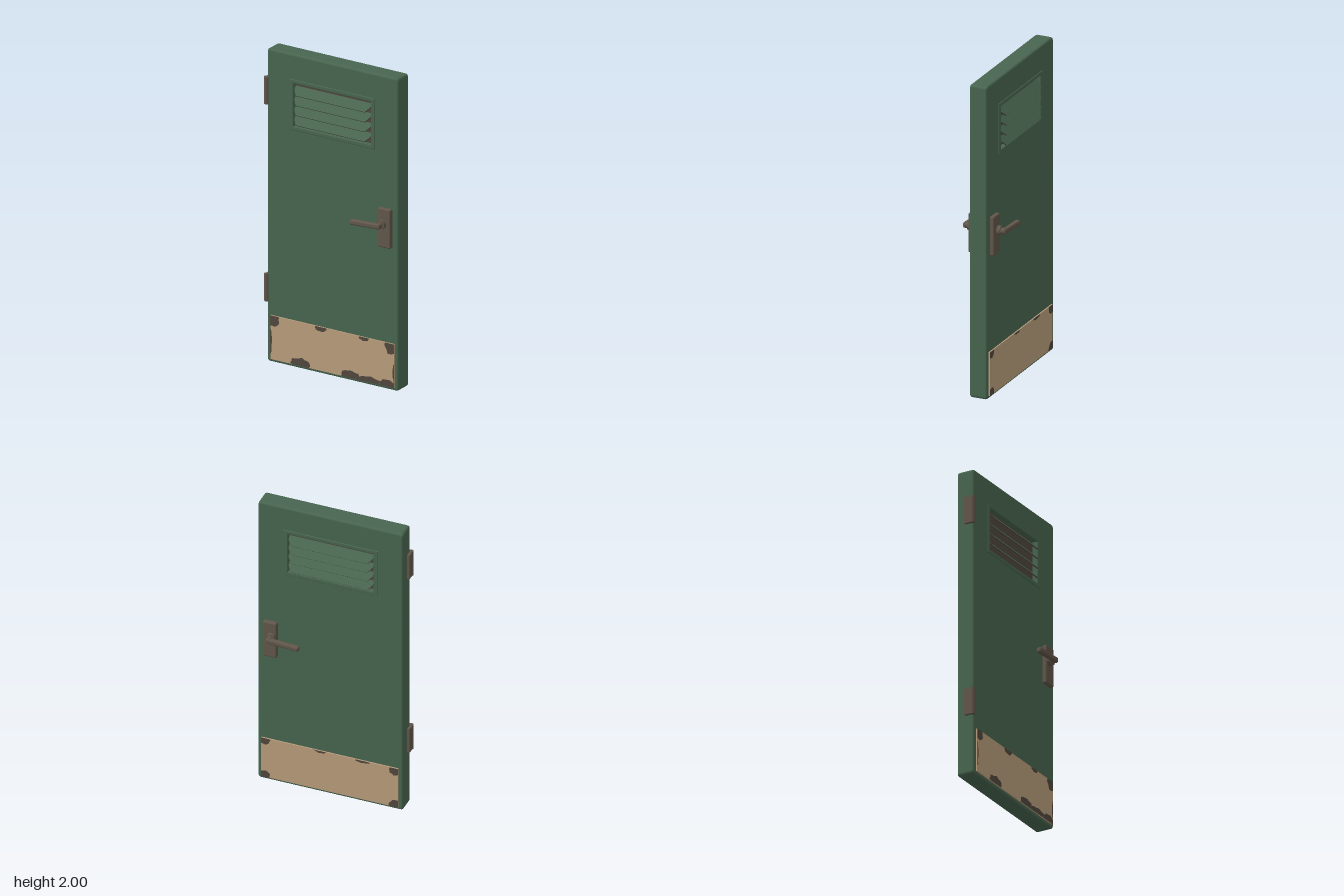
import * as THREE from 'three';
import { RoundedBoxGeometry } from 'three/addons/geometries/RoundedBoxGeometry.js';

const paint = (name, color) => {
  const m = new THREE.MeshStandardMaterial({ color });
  m.name = name;
  return m;
};

const ZC = -0.003, HALF = 0.0575; // door mid-plane and half thickness

// Rounded rectangle outline, as a Shape or a hole Path
function roundRect(x0, y0, x1, y1, r, Type = THREE.Shape) {
  const s = new Type();
  s.moveTo(x0 + r, y0);
  s.lineTo(x1 - r, y0); s.quadraticCurveTo(x1, y0, x1, y0 + r);
  s.lineTo(x1, y1 - r); s.quadraticCurveTo(x1, y1, x1 - r, y1);
  s.lineTo(x0 + r, y1); s.quadraticCurveTo(x0, y1, x0, y1 - r);
  s.lineTo(x0, y0 + r); s.quadraticCurveTo(x0, y0, x0 + r, y0);
  return s;
}

// Straight-edged rectangle
function rect(x0, y0, x1, y1, Type = THREE.Shape) {
  return new Type([[x0, y0], [x1, y0], [x1, y1], [x0, y1]].map(p => new THREE.Vector2(...p)));
}

function seeded(seed) {
  return () => (seed = (seed * 16807) % 2147483647) / 2147483647;
}

export function createModel() {
  const green = paint('door green', 0x48654f);
  const bronze = paint('handle bronze', 0x61564a);
  const tan = paint('kick plate tan', 0xb99d7b);
  const worn = paint('worn brown', 0x51483e);

  const model = new THREE.Group();
  const add = (parent, name, geo, mat, x = 0, y = 0, z = 0) => {
    const m = new THREE.Mesh(geo, mat);
    m.name = name;
    m.position.set(x, y, z);
    parent.add(m);
    return m;
  };

  // Door slab with a vent opening and softened edges
  const slab = roundRect(-0.46, 0, 0.475, 2, 0.02);
  slab.holes.push(rect(-0.275, 1.535, 0.285, 1.82, THREE.Path));
  const b = 0.013;
  add(model, 'doorSlab', new THREE.ExtrudeGeometry(slab, {
    depth: 2 * (HALF - b), bevelThickness: b, bevelSize: b, bevelOffset: -b, bevelSegments: 3, curveSegments: 4,
  }), green, 0, 0, ZC - HALF + b);
  add(model, 'ventCore', new THREE.BoxGeometry(0.6, 0.32, 0.05), worn, 0.005, 1.68, ZC);

  // Chips in the kick plate paint: x, y, radius x, radius y
  const chips = {
    front: [[-0.41, 0.28, 0.045, 0.045], [-0.07, 0.3, 0.045, 0.03], [0.235, 0.3, 0.035, 0.022],
      [0.43, 0.28, 0.045, 0.05], [-0.432, 0.13, 0.012, 0.08], [-0.22, 0.03, 0.07, 0.04],
      [0.14, 0.025, 0.07, 0.045], [0.27, 0.02, 0.09, 0.035], [0.41, 0.03, 0.07, 0.032], [0.452, 0.12, 0.012, 0.06]],
    back: [[0.43, 0.29, 0.04, 0.035], [0.07, 0.3, 0.04, 0.015], [-0.2, 0.3, 0.05, 0.015],
      [-0.41, 0.285, 0.04, 0.035], [-0.42, 0.03, 0.05, 0.04], [0.43, 0.03, 0.035, 0.04]],
  };

  for (const s of [1, -1]) {
    const name = s > 0 ? 'front' : 'back';
    const face = ZC + s * HALF;
    const side = new THREE.Group();
    side.name = name + 'Fittings';
    model.add(side);

    // Vent frame
    const ring = rect(-0.3, 1.515, 0.31, 1.84);
    ring.holes.push(rect(-0.272, 1.54, 0.282, 1.816, THREE.Path));
    add(side, 'ventFrame', new THREE.ExtrudeGeometry(ring, {
      depth: 0.012, bevelThickness: 0.003, bevelSize: 0.003, bevelOffset: -0.003, bevelSegments: 1,
    }), green, 0, 0, face - 0.006 - s * 0.004);

    // Louvre slats, leaning outward at the bottom, with worn edges
    const slat = new THREE.Shape([[-0.246, -0.032], [0.246, -0.032], [0.272, 0.005], [0.272, 0.032],
      [-0.272, 0.032], [-0.272, 0.005]].map(p => new THREE.Vector2(...p)));
    const slatGeo = new THREE.ExtrudeGeometry(slat, { depth: 0.007, bevelEnabled: false });
    slatGeo.translate(0, 0, -0.0035);
    for (let i = 0; i < 4; i++) {
      const m = add(side, 'ventSlat', slatGeo, [green, worn], 0.006, 1.771 - i * 0.063, face + s * 0.001);
      m.rotation.x = -s * 0.76;
    }

    // Kick plate with chipped paint
    const x0 = -0.432, x1 = 0.452, y0 = 0.02, y1 = 0.3;
    add(side, 'kickPlate', new THREE.BoxGeometry(x1 - x0, y1 - y0, 0.008), tan, (x0 + x1) / 2, 0.16, face + s * 0.004);
    const rnd = seeded(s > 0 ? 71 : 193);
    for (const [cx, cy, rx, ry] of chips[name]) {
      const pts = [];
      for (let i = 0; i < 18; i++) {
        const a = i / 18 * Math.PI * 2, k = 0.85 + 0.3 * rnd();
        const p = new THREE.Vector2(
          THREE.MathUtils.clamp(cx + rx * k * Math.cos(a), x0, x1),
          THREE.MathUtils.clamp(cy + ry * k * Math.sin(a), y0, y1));
        if (!pts.length || p.distanceTo(pts[pts.length - 1]) > 1e-4) pts.push(p);
      }
      const chip = add(side, 'paintChip', new THREE.ShapeGeometry(new THREE.Shape(pts)), worn, 0, 0, face + s * 0.0095);
      if (s < 0) {
        // Turn the outline over so it faces the back
        chip.geometry.scale(-1, 1, 1);
        chip.geometry.index.array.reverse();
        chip.rotation.y = Math.PI;
      }
    }

    // Lever handle on its backplate
    const handle = new THREE.Group();
    handle.name = name + 'Handle';
    side.add(handle);
    add(handle, 'backplate', new RoundedBoxGeometry(0.09, 0.25, 0.032, 2, 0.009), bronze, 0.39, 1.035, face + s * 0.012);
    const collar = (r, from, to) => {
      const g = new THREE.CylinderGeometry(r, r, to - from, 20).rotateX(Math.PI / 2);
      add(handle, 'collar', g, bronze, 0.376, 1.06, face + s * (from + to) / 2);
    };
    collar(0.03, 0.02, 0.05);
    collar(0.02, 0.045, 0.075);
    const lever = new RoundedBoxGeometry(0.212, 0.034, 0.032, 3, 0.011);
    const pos = lever.attributes.position;
    for (let i = 0; i < pos.count; i++) { // slimmer near the hub, drooping slightly to the tip
      const t = pos.getX(i) / 0.106;
      pos.setZ(i, pos.getZ(i) * (1 - 0.12 * t));
      pos.setY(i, pos.getY(i) + 0.005 * t);
    }
    lever.computeVertexNormals();
    add(handle, 'lever', lever, bronze, 0.288, 1.055, face + s * 0.07);
  }

  // Hinges on the right edge
  for (const y of [1.73, 0.47]) {
    const hinge = new THREE.Group();
    hinge.name = 'hinge';
    model.add(hinge);
    add(hinge, 'hingeLeaf', new THREE.BoxGeometry(0.022, 0.17, 0.045), bronze, -0.466, y, 0.022);
    add(hinge, 'hingeKnuckle', new THREE.CylinderGeometry(0.016, 0.016, 0.174, 8), bronze, -0.465, y, 0.051);
  }

  return model;
}
